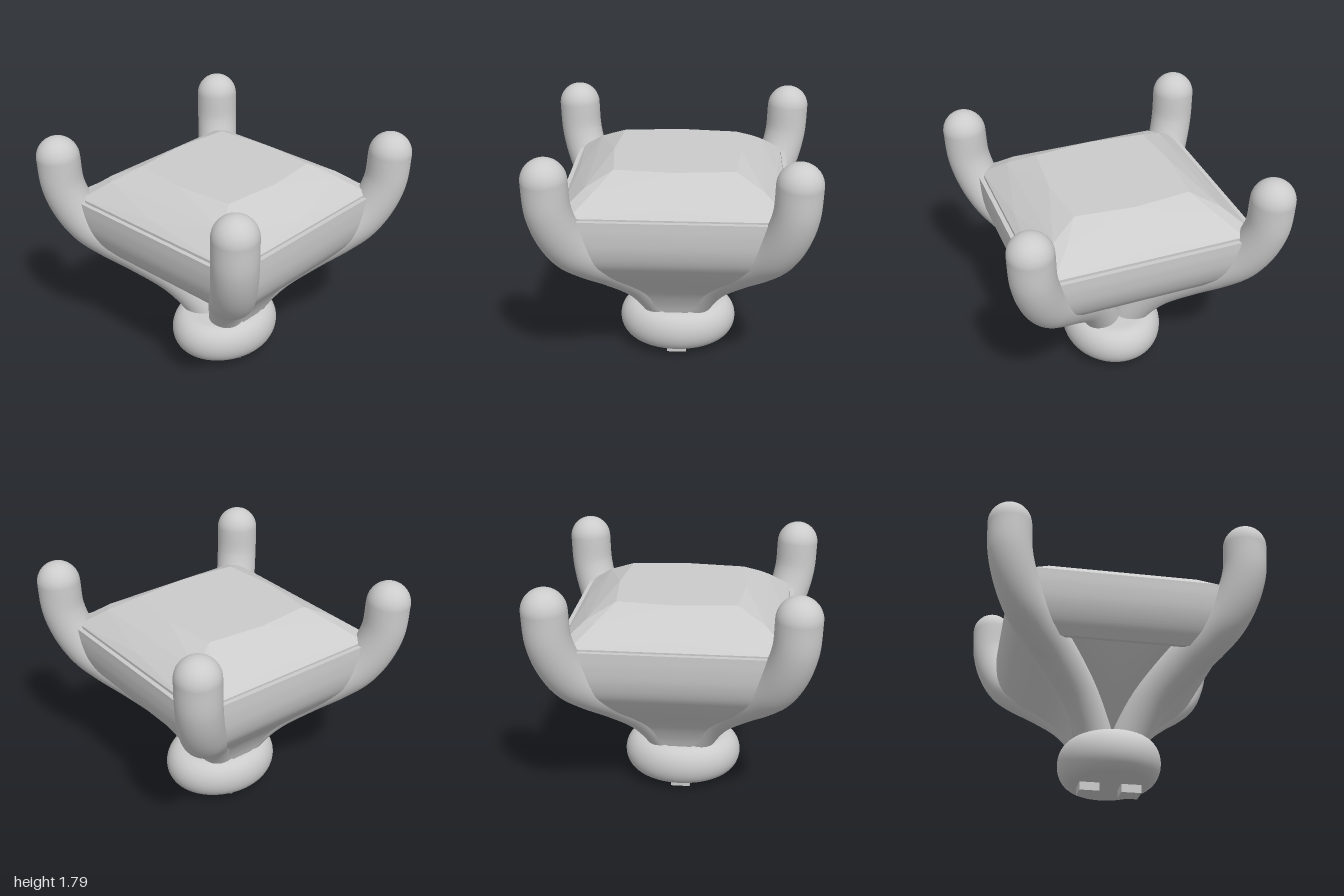
import * as THREE from 'three';
import { toCreasedNormals } from 'three/addons/utils/BufferGeometryUtils.js';
import { ConvexGeometry } from 'three/addons/geometries/ConvexGeometry.js';

const R = 0.155; // prong radius
const Z = 0.976; // depth of the prong layout relative to its width

// Centre line of a prong: [distance from centre, height]
const FLARE = [[0.085, 0.26], [0.142, 0.42], [0.27, 0.645], [0.455, 0.85], [0.61, 0.99],
  [0.71, 1.1], [0.785, 1.25], [0.833, 1.43], [0.845, 1.64]];
const flare = FLARE.map(([d, y]) => new THREE.Vector3(d, y, d * Z));

// Panel profiles, running near the outer side of the prongs: [distance from centre, height]
const SIDE_PANEL = [[0.24, 0.33], [0.29, 0.45], [0.37, 0.58], [0.47, 0.69], [0.585, 0.8],
  [0.675, 0.9], [0.74, 0.99], [0.778, 1.1], [0.791, 1.22], [0.791, 1.33]];
const FRONT_PANEL = [[0.64, 0.9], [0.715, 0.99], [0.765, 1.1], [0.787, 1.22], [0.791, 1.325]];

// Curved plate facing +z
function panelGeometry(profile) {
  const half = 0.016, pos = [], idx = [];
  const path = new THREE.CatmullRomCurve3(profile.map(([d, y]) => new THREE.Vector3(d, y, 0)));
  const rows = path.getPoints(60);
  for (const { x: d, y } of rows) {
    const w = Math.min(0.66, d - 0.06, (y - 0.3) * 1.25);
    pos.push(-w, y, d + half, w, y, d + half, w, y, d - half, -w, y, d - half);
  }
  const t = (rows.length - 1) * 4;
  for (let i = 0; i < t; i += 4) {
    for (let j = 0; j < 4; j++) {
      const a = i + j, b = i + (j + 1) % 4;
      idx.push(a, b, b + 4, a, b + 4, a + 4);
    }
  }
  idx.push(t, t + 1, t + 2, t, t + 2, t + 3, 0, 2, 1, 0, 3, 2);
  const g = new THREE.BufferGeometry();
  g.setAttribute('position', new THREE.Float32BufferAttribute(pos, 3));
  g.setIndex(idx);
  return toCreasedNormals(g, 0.6);
}

// Tube that slims towards its lower end
function prongGeometry(path) {
  const rings = 60, sides = 36;
  const g = new THREE.TubeGeometry(path, rings, R, sides);
  const pos = g.attributes.position, v = new THREE.Vector3();
  for (let i = 0; i < pos.count; i++) {
    const u = Math.floor(i / (sides + 1)) / rings;
    const slim = 0.15 * (1 - THREE.MathUtils.smoothstep(u, 0.05, 0.5));
    v.fromBufferAttribute(pos, i).lerp(path.getPointAt(u), slim);
    pos.setXYZ(i, v.x, v.y, v.z);
  }
  return g;
}

// Square-cut stone: crown, girdle and chevron pavilion
function gemGeometry() {
  const pts = [new THREE.Vector3(0, 0.44, 0)];
  const add = (x, y, z) => {
    for (const sx of [1, -1]) for (const sz of [1, -1]) pts.push(new THREE.Vector3(x * sx, y, z * sz));
  };
  const both = (a, y, b) => { add(a, y, b); add(b, y, a); };
  both(0.42, 1.56, 0.42);
  both(0.46, 1.56, 0);
  both(0.61, 1.468, 0.54);
  both(0.72, 1.39, 0);
  both(0.77, 1.34, 0.69);
  both(0.77, 1.3, 0.69);
  // points along the mid-lines, where the chevrons meet
  for (const [d, y] of [[0.6, 0.93], [0.47, 0.78], [0.355, 0.68]]) both(d, y, 0);
  return new ConvexGeometry(pts);
}

export function createModel() {
  const root = new THREE.Group();
  root.name = 'gemSetting';
  const mat = new THREE.MeshStandardMaterial({ color: 0xcccccc });
  const flat = new THREE.MeshStandardMaterial({ color: 0xcccccc, flatShading: true });
  const add = (name, geo, material = mat, parent = root) => {
    const m = new THREE.Mesh(geo, material);
    m.name = name;
    parent.add(m);
    return m;
  };

  // Oval base with rounded rim
  const profile = [new THREE.Vector2(0, 0.06)];
  for (let i = 0; i <= 20; i++) {
    const a = -Math.PI / 2 + Math.PI * i / 20;
    profile.push(new THREE.Vector2(0.26 + 0.112 * Math.cos(a), 0.215 + 0.155 * Math.sin(a)));
  }
  profile.push(new THREE.Vector2(0, 0.37));
  const base = toCreasedNormals(new THREE.LatheGeometry(profile, 64), 0.6);
  base.scale(1, 1, 1.18);
  add('base', base);

  // Pegs under the base
  for (const s of [1, -1]) {
    add('peg', new THREE.BoxGeometry(0.145, 0.1, 0.145), flat).position.set(0.15 * s, 0.05, 0);
  }

  // Four flared prongs with round tips
  for (const sx of [1, -1]) {
    for (const sz of [1, -1]) {
      const prong = new THREE.Group();
      prong.name = 'prong';
      const points = flare.map((p) => new THREE.Vector3(p.x * sx, p.y, p.z * sz));
      add('prongShaft', prongGeometry(new THREE.CatmullRomCurve3(points)), mat, prong);
      add('prongTip', new THREE.SphereGeometry(R, 36, 20), mat, prong).position.copy(points.at(-1));
      root.add(prong);
    }
  }

  // Short panels front and back, long panels down to the base at the sides
  const shortPanel = panelGeometry(FRONT_PANEL);
  const longPanel = panelGeometry(SIDE_PANEL);
  add('frontPanel', shortPanel);
  add('backPanel', shortPanel).rotation.y = Math.PI;
  add('leftPanel', longPanel).rotation.y = Math.PI / 2;
  add('rightPanel', longPanel).rotation.y = -Math.PI / 2;

  // Stone
  add('gem', gemGeometry(), flat);
  return root;
}
